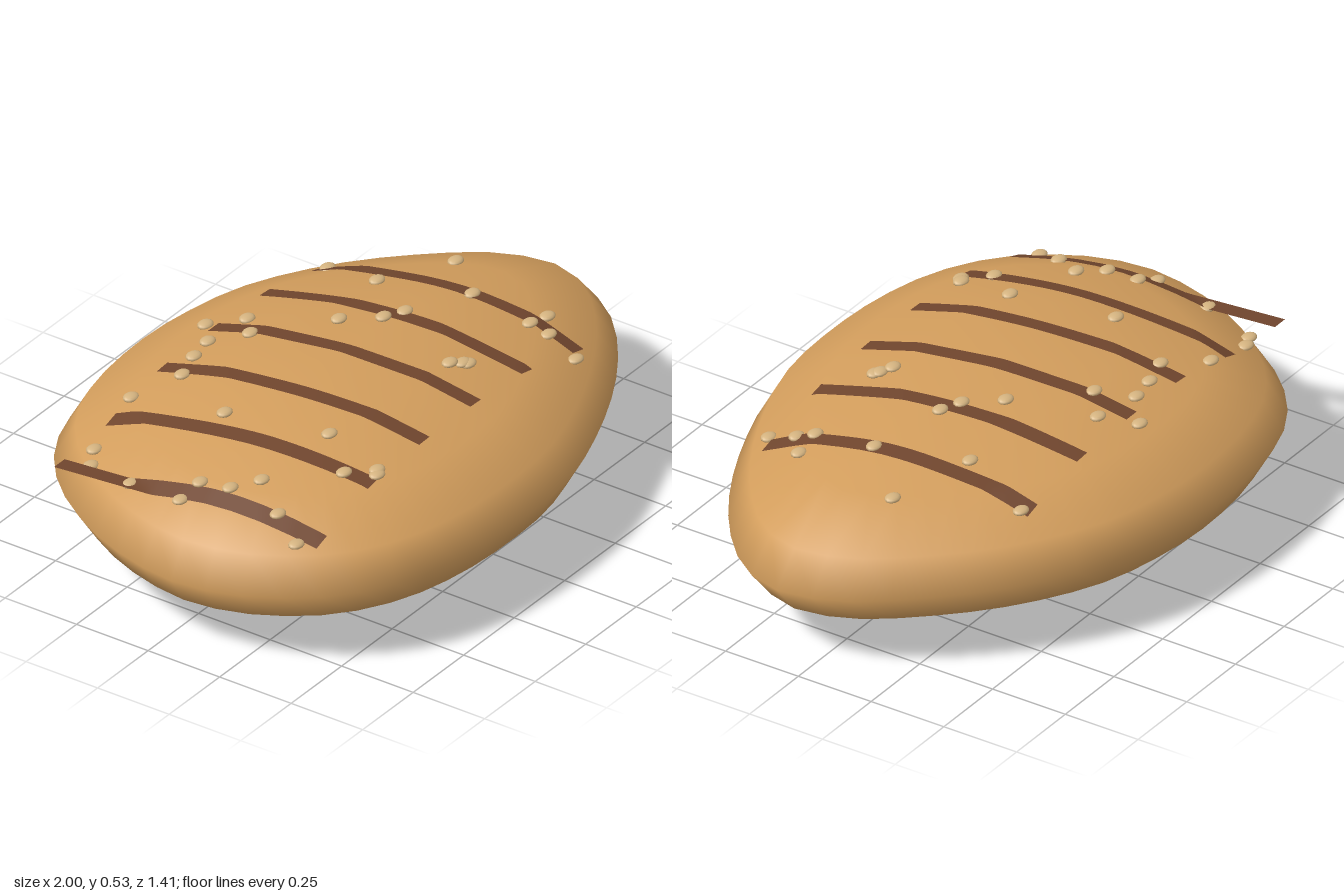
import * as THREE from 'three';
import { mergeVertices } from 'three/addons/utils/BufferGeometryUtils.js';

const SIDES = 48, RINGS = 8;
const CX = -0.08, CY = 0.265, RY = 0.262;

// Plan outline (x, z) of the loaf, from its left tip round by the front
const plan = [
  [-1, 0.08], [-0.97, 0.25], [-0.9, 0.39], [-0.79, 0.52], [-0.61, 0.63], [-0.38, 0.69], [-0.1, 0.705],
  [0.12, 0.685], [0.35, 0.615], [0.62, 0.49], [0.83, 0.345], [0.96, 0.2], [1, 0.065],
  [0.95, -0.11], [0.83, -0.27], [0.62, -0.47], [0.35, -0.63], [0.12, -0.69], [-0.1, -0.71],
  [-0.38, -0.685], [-0.58, -0.62], [-0.73, -0.51], [-0.85, -0.36], [-0.95, -0.16],
];
const outline = new THREE.CatmullRomCurve3(
  plan.map(([x, z]) => new THREE.Vector3(x - CX, 0, z)), true).getSpacedPoints(SIDES);

// Height of the upper crust at a point of the plan
function crustHeight(x, z) {
  const px = x - CX;
  let rho = 0;
  for (let i = 0; i < SIDES; i++) {
    const a = outline[i], b = outline[i + 1];
    const det = a.x * b.z - a.z * b.x;
    const s = (px * b.z - z * b.x) / det, t = (a.x * z - a.z * px) / det;
    if (s >= -1e-6 && t >= -1e-6) { rho = s + t; break; }
  }
  if (rho >= 1) return CY;
  const step = Math.PI / RINGS;
  const k = Math.floor(Math.asin(rho) / step);
  const r0 = Math.sin(k * step), r1 = Math.sin((k + 1) * step);
  const f = (rho - r0) / (r1 - r0);
  return CY + RY * THREE.MathUtils.lerp(Math.cos(k * step), Math.cos((k + 1) * step), f);
}

// Loaf: a sphere whose rings follow the plan outline
function loafGeometry() {
  let geo = new THREE.SphereGeometry(1, SIDES, RINGS);
  const pos = geo.attributes.position;
  for (let j = 0; j <= RINGS; j++) {
    const r = Math.sin(j / RINGS * Math.PI), y = CY + RY * Math.cos(j / RINGS * Math.PI);
    for (let i = 0; i <= SIDES; i++) {
      const p = outline[i % SIDES];
      pos.setXYZ(j * (SIDES + 1) + i, CX + p.x * r, y, p.z * r);
    }
  }
  geo.deleteAttribute('uv');
  geo.deleteAttribute('normal');
  geo = mergeVertices(geo, 1e-4);
  geo.computeVertexNormals();
  return geo;
}

// Slanted scorch band draped over the crust; minY keeps an overhanging end up
function bandGeometry(xc, minY) {
  const geo = new THREE.PlaneGeometry(0.052, 0.85, 2, 40).rotateX(-Math.PI / 2);
  const pos = geo.attributes.position;
  for (let i = 0; i < pos.count; i++) {
    const z = pos.getZ(i);
    const x = xc + pos.getX(i) + z * 0.112;
    let y = crustHeight(x, z) + 0.006;
    if (z < 0) y = Math.max(y, minY);
    pos.setXYZ(i, x, y, z);
  }
  geo.computeVertexNormals();
  return geo;
}

// Seed positions on the plan (x, z)
const seeds = [
  [-0.76, -0.37], [-0.7, -0.4], [-0.49, -0.42], [-0.35, -0.34], [-0.25, -0.37], [-0.16, -0.385],
  [-0.065, -0.46], [0, -0.36], [-0.085, -0.29], [0.455, -0.4], [0.395, -0.185], [0.65, -0.09],
  [-0.805, -0.2], [-0.82, -0.015], [-0.75, 0.005], [-0.735, 0.1], [-0.665, 0.16], [-0.74, 0.27],
  [-0.79, 0.37], [-0.47, -0.107], [-0.4, 0.21], [-0.505, 0.335], [-0.45, 0.412], [-0.433, 0.4],
  [0.11, -0.117], [0.193, -0.02], [0.257, 0.01], [0.118, 0.265], [0.15, 0.288], [0.16, 0.3],
  [0.487, 0.083], [0.487, 0.285], [0.572, 0.285], [0.497, 0.343], [0.487, 0.445],
];

export function createModel() {
  const crust = new THREE.MeshStandardMaterial({ name: 'golden crust', color: 0xd29d5c });
  const scorch = new THREE.MeshStandardMaterial({ name: 'dark scorch', color: 0x6f452d, side: THREE.DoubleSide });
  const seedTan = new THREE.MeshStandardMaterial({ name: 'pale seed', color: 0xd4b380 });

  const model = new THREE.Group();
  model.name = 'bread';
  const add = (geo, mat, name, parent = model) => {
    const mesh = new THREE.Mesh(geo, mat);
    mesh.name = name;
    parent.add(mesh);
    return mesh;
  };

  add(loafGeometry(), crust, 'loaf');

  const bands = new THREE.Group();
  bands.name = 'scorchBands';
  for (let i = 0; i < 6; i++) {
    add(bandGeometry(-0.79 + i * 0.254, i === 0 ? 0.4 : 0), scorch, 'scorchBand', bands);
  }

  const seedGroup = new THREE.Group();
  seedGroup.name = 'seeds';
  const seedGeo = new THREE.SphereGeometry(1, 12, 8).scale(0.028, 0.011, 0.022);
  for (const [x, z] of seeds) {
    add(seedGeo, seedTan, 'seed', seedGroup).position.set(x, crustHeight(x, z) + 0.006, z);
  }

  model.add(bands, seedGroup);
  return model;
}
